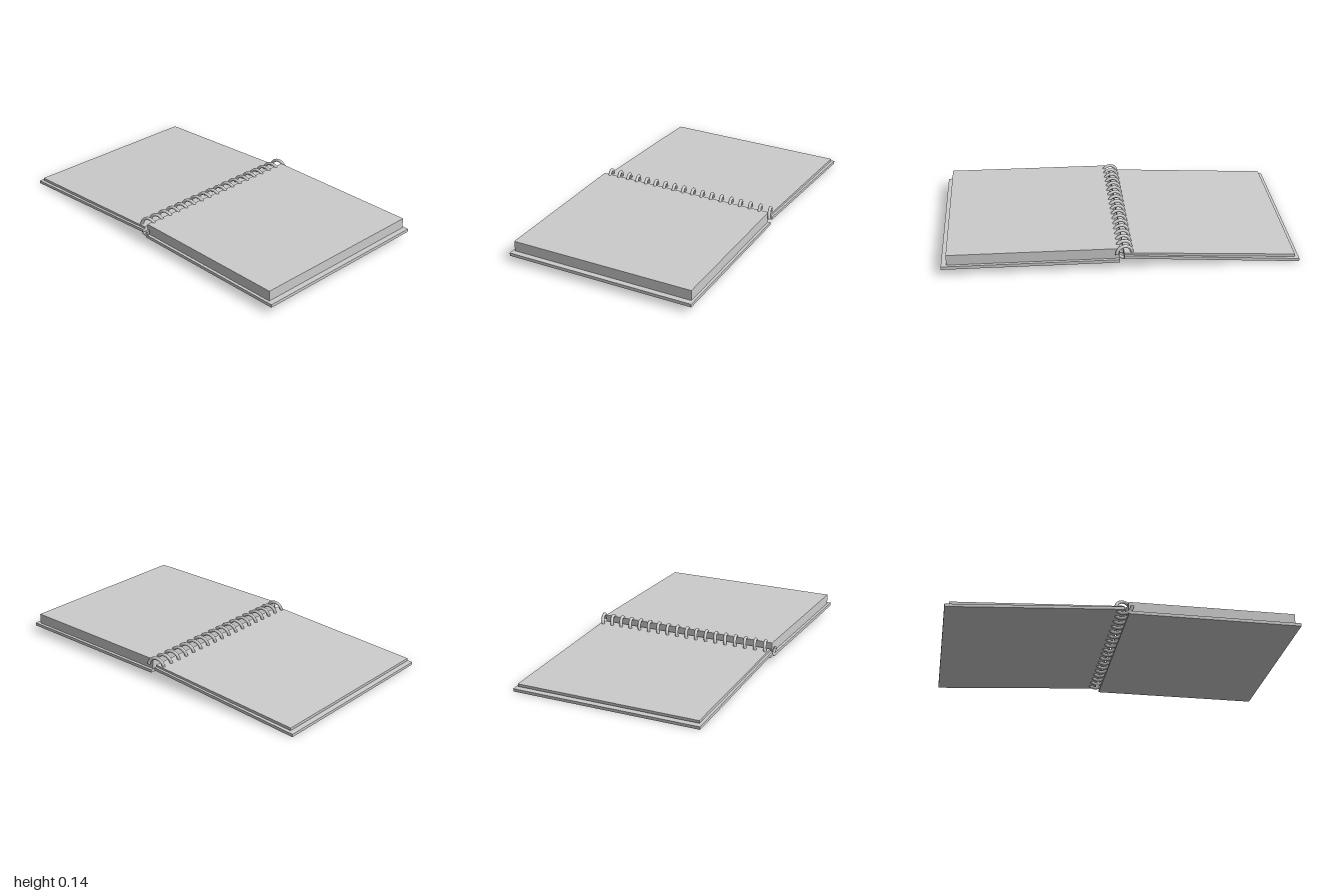
import * as THREE from 'three';

const material = new THREE.MeshStandardMaterial({ color: 0xcccccc, side: THREE.DoubleSide });

// Slab running from (x0, y0) to (x1, y1) along its underside
function slab(name, x0, y0, x1, y1, thickness, depth) {
  const length = Math.hypot(x1 - x0, y1 - y0);
  const geometry = new THREE.BoxGeometry(length, thickness, depth);
  geometry.translate(length / 2, thickness / 2, 0);
  const mesh = new THREE.Mesh(geometry, material);
  mesh.name = name;
  mesh.position.set(x0, y0, 0);
  mesh.rotation.z = Math.atan2(y1 - y0, x1 - x0);
  return mesh;
}

// Wire helix wound along z
class Helix extends THREE.Curve {
  constructor(radius, length, turns) {
    super();
    Object.assign(this, { radius, length, turns });
  }
  getPoint(t, target = new THREE.Vector3()) {
    const a = -t * this.turns * Math.PI * 2;
    return target.set(this.radius * Math.cos(a), this.radius * Math.sin(a), this.length * (0.5 - t));
  }
}

export function createModel() {
  const notebook = new THREE.Group();
  notebook.name = 'spiralNotebook';

  // Flat half: back cover and thick block of pages
  notebook.add(slab('backCover', 0.012, 0.038, 1, 0.038, 0.018, 1.125));
  notebook.add(slab('pageBlock', 0.012, 0.058, 0.97, 0.058, 0.06, 1.096));

  // Opened half: front cover and a few turned pages, sloping down to the ground
  notebook.add(slab('frontCover', -0.999, 0, -0.012, 0.062, 0.017, 1.125));
  notebook.add(slab('turnedPages', -0.975, 0.023, -0.012, 0.074, 0.016, 1.096));

  // Spiral binding with closed wire ends
  const spiral = new THREE.Group();
  spiral.name = 'spiralBinding';
  spiral.position.set(-0.013, 0.088, 0);
  const curve = new Helix(0.043, 1.125, 18);
  const wire = new THREE.Mesh(new THREE.TubeGeometry(curve, 18 * 24, 0.0095, 10), material);
  wire.name = 'wire';
  spiral.add(wire);
  for (const t of [0, 1]) {
    const cap = new THREE.Mesh(new THREE.CircleGeometry(0.0095, 10), material);
    cap.name = 'wireEnd';
    cap.position.copy(curve.getPoint(t));
    const outward = curve.getTangent(t).multiplyScalar(t ? 1 : -1);
    cap.quaternion.setFromUnitVectors(new THREE.Vector3(0, 0, 1), outward);
    spiral.add(cap);
  }
  notebook.add(spiral);
  return notebook;
}
